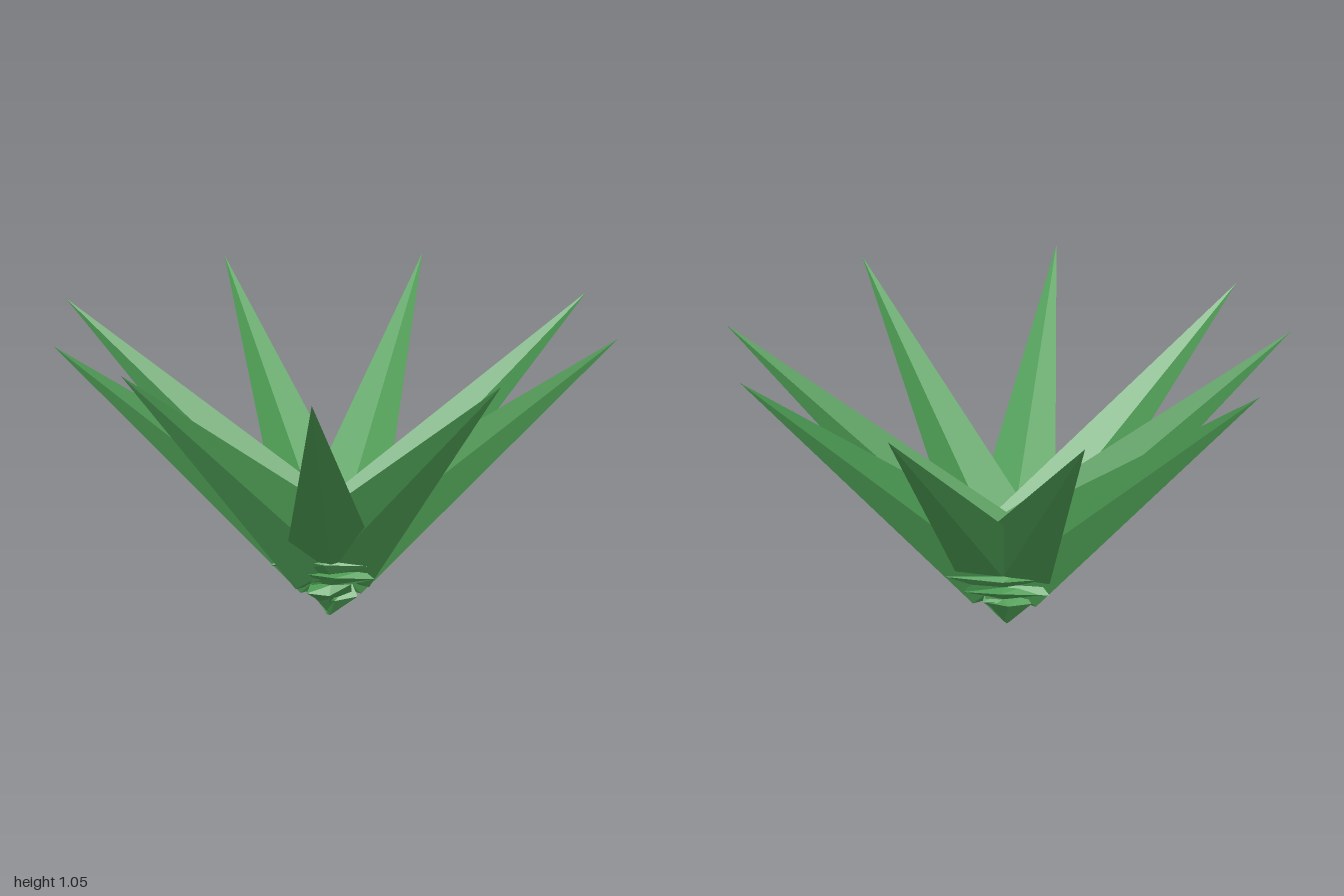
import * as THREE from 'three';

const V = (x, y, z) => new THREE.Vector3(x, y, z);

// Lofts a closed skin through diamond sections { p, w, n }:
// centre, half-width vector and half-thickness vector.
function loftDiamonds(sections) {
  const rings = sections.map(({ p, w, n }) => [
    p.clone().add(w), p.clone().add(n), p.clone().sub(w), p.clone().sub(n),
  ]);
  const pos = [];
  const tri = (a, b, c) => {
    const area = b.clone().sub(a).cross(c.clone().sub(a)).length();
    if (area > 1e-8) for (const v of [a, b, c]) pos.push(v.x, v.y, v.z);
  };
  for (let i = 0; i < rings.length - 1; i++) {
    const a = rings[i], b = rings[i + 1];
    for (let k = 0; k < 4; k++) {
      const m = (k + 1) % 4;
      tri(a[k], a[m], b[m]);
      tri(a[k], b[m], b[k]);
    }
  }
  const first = rings[0], last = rings[rings.length - 1];
  tri(first[0], first[2], first[1]);
  tri(first[0], first[3], first[2]);
  tri(last[0], last[1], last[2]);
  tri(last[0], last[2], last[3]);
  const geo = new THREE.BufferGeometry();
  geo.setAttribute('position', new THREE.Float32BufferAttribute(pos, 3));
  geo.computeVertexNormals();
  return geo;
}

export function createModel() {
  const group = new THREE.Group();
  group.name = 'spikyPlant';
  const leafGreen = new THREE.MeshStandardMaterial({ color: 0x4c9a53, flatShading: true });
  leafGreen.name = 'leafGreen';

  let seed = 11;
  const jitter = (s) => {
    seed = (seed * 16807) % 2147483647;
    return (seed / 2147483647 * 2 - 1) * s;
  };
  const add = (name, geo) => {
    const mesh = new THREE.Mesh(geo, leafGreen);
    mesh.name = name;
    group.add(mesh);
  };

  // Leaf tips in order around the plant, each with the depth of its root
  const leaves = [
    [-0.065, 1.03, 0.995, 0.03], [0.595, 1.04, 0.77, 0.03], [0.99, 1.03, 0.085, 0.01],
    [0.865, 1.04, -0.495, -0.07], [0.275, 1.04, -0.995, -0.05], [-0.42, 1.035, -0.96, -0.05],
    [-0.965, 1.035, -0.385, -0.065], [-0.99, 1.035, 0.255, 0.015], [-0.745, 1.045, 0.67, 0.03],
  ];
  const zAxis = V(0, 0, 1), zero = V(0, 0, 0);

  leaves.forEach(([x, y, z, rootZ], i) => {
    // Long tapering blade, its width lying across the front plane
    const tip = V(x, y, z), root = V(-0.02, 0.2, rootZ);
    const axis = tip.clone().sub(root).normalize();
    const w = axis.clone().cross(zAxis).normalize();
    const n = axis.clone().cross(w).normalize();
    const section = (along, half, thick) => ({
      p: root.clone().addScaledVector(axis, along),
      w: w.clone().multiplyScalar(half),
      n: n.clone().multiplyScalar(thick),
    });
    add('leaf' + (i + 1), loftDiamonds([
      section(-0.05, 0.09, 0.028),
      section(0, 0.165, 0.046),
      { p: tip, w: zero, n: zero },
    ]));

    // Crumpled foot of the leaf, pleated and narrowing towards the ground
    const footZ = -0.02 + (i - 4) * 0.022;
    const foot = (px, py, pz, half, thick, roll) => ({
      p: V(px, py, pz),
      w: V(Math.cos(roll) * half, Math.sin(roll) * half, jitter(0.03)),
      n: V(0, jitter(0.015), -thick),
    });
    add('leafFoot' + (i + 1), loftDiamonds([
      foot(-0.025, i === 4 ? 0 : 0.025 + jitter(0.015), footZ * 0.4, 0.012, 0.012, 0),
      foot(-0.02 + jitter(0.02), 0.085 + jitter(0.015), footZ * 0.85, 0.08, 0.03, jitter(0.15)),
      foot(-0.02, 0.12, footZ * 0.7, 0.07, 0.02, jitter(0.1)),
      foot(-0.025 + jitter(0.02), 0.145 + jitter(0.01), footZ, 0.14, 0.035, jitter(0.1)),
      foot(-0.025, 0.17, footZ * 0.8, 0.12, 0.02, jitter(0.1)),
      foot(-0.03 + jitter(0.02), 0.195 + jitter(0.015), footZ, 0.2 + jitter(0.015), 0.035, jitter(0.15)),
      foot(-0.01, 0.25, footZ * 0.5, 0.13, 0.02, jitter(0.15)),
    ]));
  });
  return group;
}
